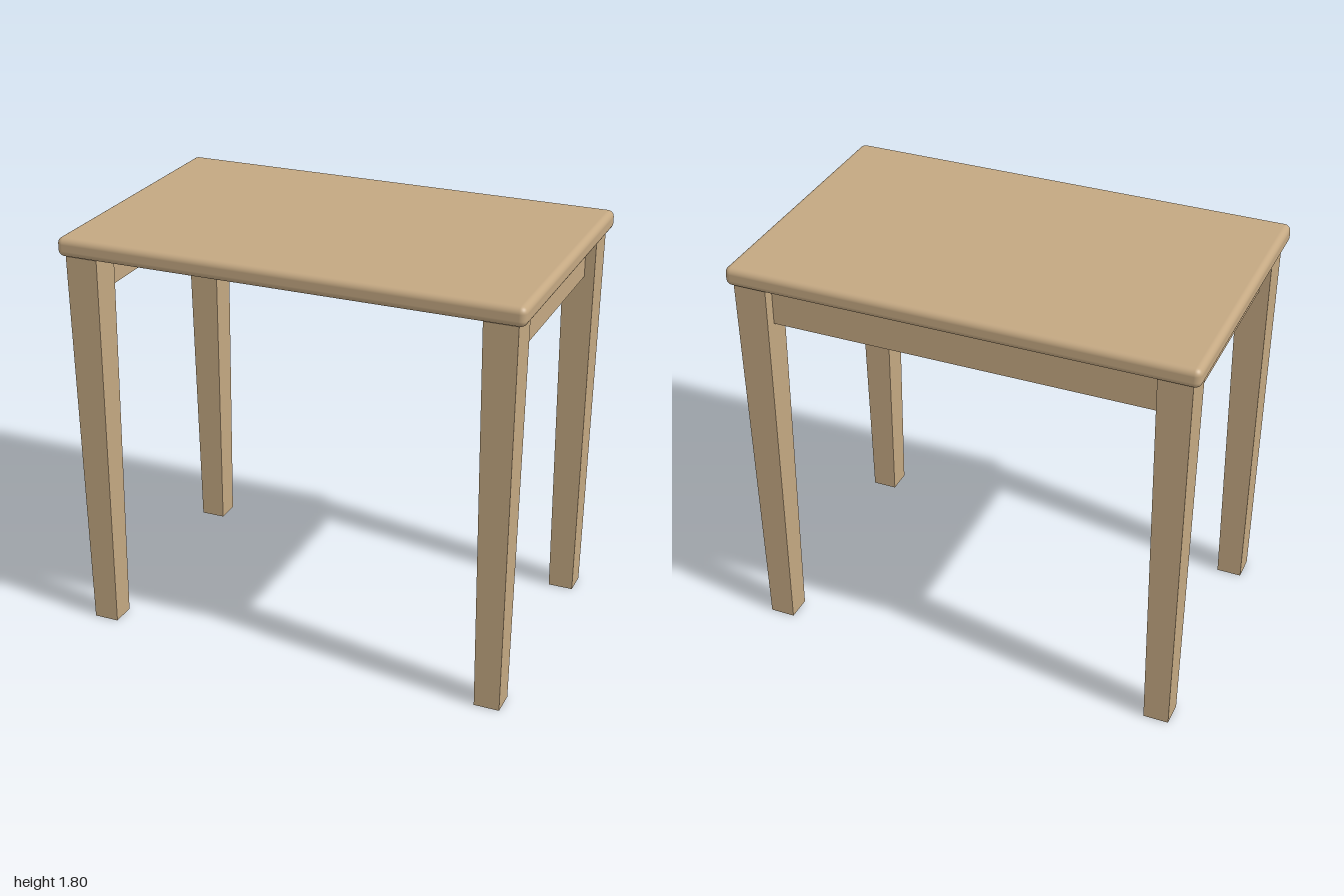
import * as THREE from 'three';
import { RoundedBoxGeometry } from 'three/addons/geometries/RoundedBoxGeometry.js';

const WOOD = new THREE.MeshStandardMaterial({ color: 0xc4a882 });

const TOP_Y = 1.8, TOP_THICK = 0.083;
const UNDER_Y = TOP_Y - TOP_THICK;
const LEG_X = 0.898, LEG_Z = 0.53;
const LEG_TOP = 0.142, LEG_FOOT = 0.11;
const APRON_H = 0.177, APRON_T = 0.052;

function addPart(parent, name, geometry, x, y, z) {
  const mesh = new THREE.Mesh(geometry, WOOD);
  mesh.name = name;
  mesh.position.set(x, y, z);
  parent.add(mesh);
  return mesh;
}

// Square leg narrowing evenly towards the foot
function legGeometry() {
  const geo = new THREE.BoxGeometry(LEG_TOP, UNDER_Y, LEG_TOP);
  const pos = geo.attributes.position;
  const s = LEG_FOOT / LEG_TOP;
  for (let i = 0; i < pos.count; i++) {
    if (pos.getY(i) < 0) {
      pos.setX(i, pos.getX(i) * s);
      pos.setZ(i, pos.getZ(i) * s);
    }
  }
  geo.computeVertexNormals();
  return geo;
}

export function createModel() {
  const table = new THREE.Group();
  table.name = 'table';

  // Slab with softened edges
  addPart(table, 'tableTop', new RoundedBoxGeometry(2, TOP_THICK, 1.244, 4, 0.028),
    0, TOP_Y - TOP_THICK / 2, 0);

  // Four tapered legs
  const leg = legGeometry();
  for (const [xName, sx] of [['Left', 1], ['Right', -1]]) {
    for (const [zName, sz] of [['front', 1], ['back', -1]]) {
      addPart(table, `${zName}${xName}Leg`, leg, sx * LEG_X, UNDER_Y / 2, sz * LEG_Z);
    }
  }

  // Aprons on the back and both sides; the front stays open for the knees
  const apronY = UNDER_Y - APRON_H / 2;
  const sideApron = new THREE.BoxGeometry(APRON_T, APRON_H, 2 * LEG_Z - 0.12);
  addPart(table, 'leftApron', sideApron, LEG_X, apronY, 0);
  addPart(table, 'rightApron', sideApron, -LEG_X, apronY, 0);
  addPart(table, 'backApron', new THREE.BoxGeometry(2 * LEG_X - 0.12, APRON_H, APRON_T),
    0, apronY, -LEG_Z + 0.006);

  return table;
}
